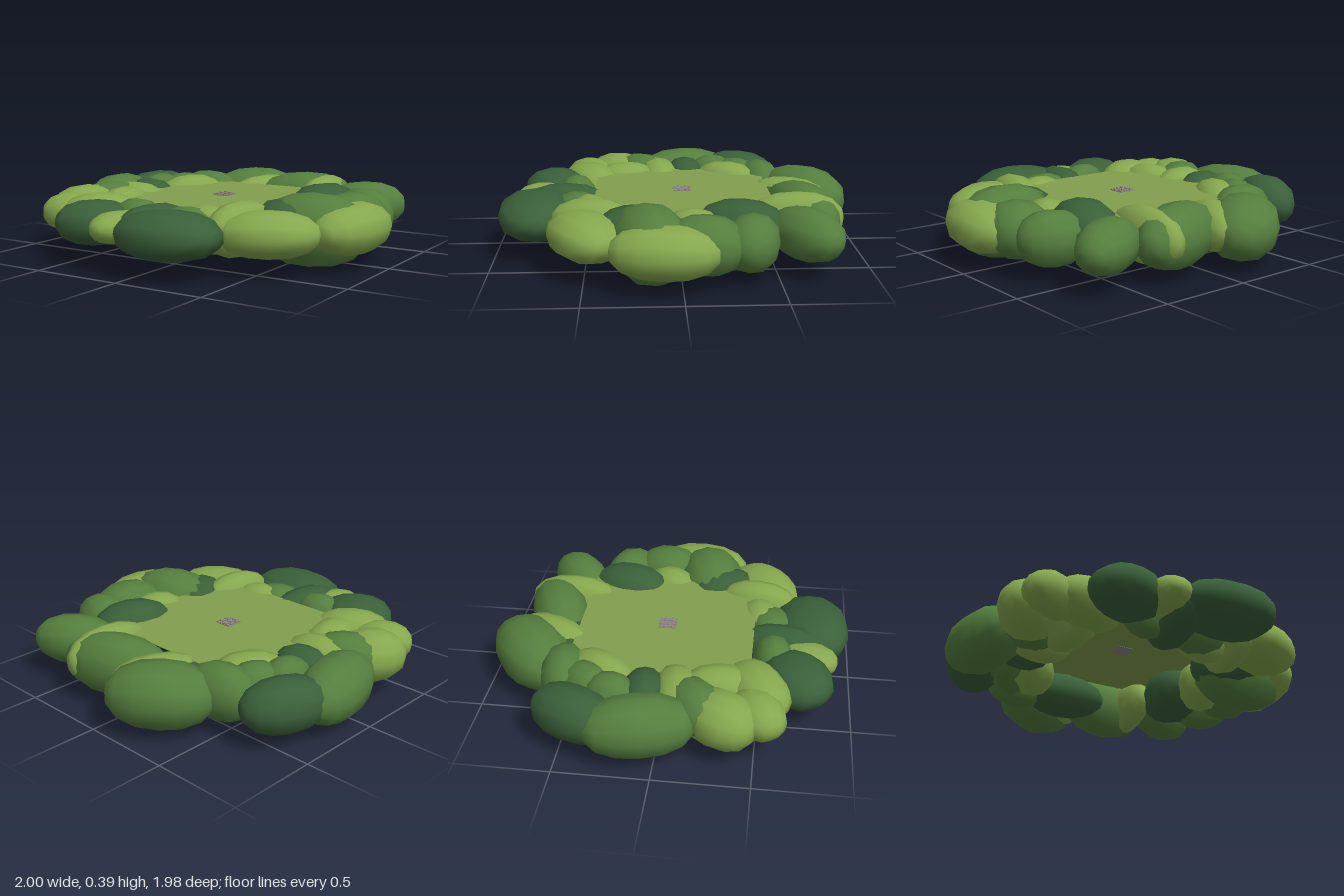
import * as THREE from 'three';

const mat = (name, color) => {
  const m = new THREE.MeshStandardMaterial({ color });
  m.name = name;
  return m;
};

// Each row: x, z, long radius, short radius, turn in degrees, centre height, half height
const LIGHT = [
  [-0.12, -0.66, 0.25, 0.12, 65, 0.21, 0.13],
  [0.31, -0.63, 0.26, 0.1, 88, 0.22, 0.15],
  [0.52, -0.07, 0.17, 0.13, 60, 0.2, 0.14],
  [0.82, 0.09, 0.28, 0.17, 84, 0.21, 0.135],
  [0.56, 0.49, 0.26, 0.18, 28, 0.215, 0.12],
  [0.38, 0.46, 0.23, 0.11, 82, 0.22, 0.145],
  [0.2, 0.48, 0.17, 0.12, 15, 0.2, 0.13],
  [-0.17, 0.75, 0.17, 0.12, 80, 0.22, 0.085],
  [-0.49, 0.5, 0.22, 0.15, 30, 0.225, 0.12],
  [-0.69, 0.51, 0.17, 0.13, 32, 0.22, 0.11],
  [-0.74, 0.33, 0.2, 0.16, 60, 0.21, 0.14],
  [-0.5, 0.29, 0.2, 0.13, 100, 0.21, 0.14],
  [-0.58, 0.09, 0.2, 0.13, 12, 0.21, 0.14],
  [-0.46, -0.33, 0.21, 0.13, 58, 0.215, 0.14],
];
const MID = [
  [-0.25, -0.755, 0.285, 0.19, 38, 0.2, 0.17],
  [0.16, -0.69, 0.3, 0.16, 20, 0.21, 0.165],
  [0.57, -0.645, 0.235, 0.145, 32, 0.215, 0.135],
  [0.69, -0.35, 0.18, 0.14, -15, 0.21, 0.145],
  [0.73, -0.11, 0.21, 0.17, 75, 0.215, 0.15],
  [0.64, 0.16, 0.29, 0.2, 14, 0.195, 0.195],
  [0.12, 0.55, 0.17, 0.14, 20, 0.2, 0.125],
  [-0.19, 0.57, 0.14, 0.11, 10, 0.215, 0.13],
  [-0.83, -0.08, 0.29, 0.165, 103, 0.2, 0.16],
  [-0.67, 0.19, 0.19, 0.14, 40, 0.22, 0.14],
  [-0.64, -0.25, 0.14, 0.11, 80, 0.22, 0.14],
  [-0.46, -0.53, 0.2, 0.13, 10, 0.21, 0.15],
  [-0.56, -0.39, 0.15, 0.12, 60, 0.215, 0.14],
];
const DARK = [
  [0.465, -0.315, 0.24, 0.17, 75, 0.22, 0.15],
  [0.5, 0.25, 0.21, 0.15, 120, 0.215, 0.14],
  [0.155, 0.775, 0.285, 0.21, 5, 0.215, 0.125],
  [-0.05, 0.62, 0.25, 0.12, 82, 0.2, 0.135],
  [-0.37, 0.7, 0.21, 0.18, 30, 0.22, 0.12],
  [-0.78, -0.42, 0.235, 0.15, 66, 0.21, 0.14],
  [-0.6, -0.08, 0.16, 0.12, 5, 0.22, 0.13],
  [-0.18, -0.54, 0.27, 0.16, 2, 0.18, 0.12],
];

// Faintly boxy ball with its poles along x
function bushGeometry() {
  const g = new THREE.SphereGeometry(1, 12, 8).rotateZ(Math.PI / 2);
  const p = g.attributes.position;
  const v = new THREE.Vector3();
  const power = 2.3;
  for (let i = 0; i < p.count; i++) {
    v.fromBufferAttribute(p, i);
    const sum = Math.abs(v.x) ** power + Math.abs(v.y) ** power + Math.abs(v.z) ** power;
    v.multiplyScalar(sum ** (-1 / power));
    p.setXYZ(i, v.x, v.y, v.z);
  }
  return g;
}

export function createModel() {
  const root = new THREE.Group();
  root.name = 'shrubRing';
  const lightLeaf = mat('light leaf', 0x86a84e);
  const midLeaf = mat('mid leaf', 0x557f3e);
  const darkLeaf = mat('dark leaf', 0x3a6039);
  const grass = mat('grass', 0x829f4d);
  const stone = mat('stone', 0x8f8983);

  // Ring of squashed, overlapping bushes
  const blob = bushGeometry();
  const addBushes = (name, rows, material) => {
    const group = new THREE.Group();
    group.name = name;
    for (const [x, z, a, b, turn, y, h] of rows) {
      const bush = new THREE.Mesh(blob, material);
      bush.name = 'bush';
      bush.position.set(x, y, z);
      bush.scale.set(a, h, b);
      bush.rotation.y = THREE.MathUtils.degToRad(turn);
      group.add(bush);
    }
    root.add(group);
  };
  addBushes('lightBushes', LIGHT, lightLeaf);
  addBushes('midBushes', MID, midLeaf);
  addBushes('darkBushes', DARK, darkLeaf);

  const add = (name, geometry, material, x, y, z, parent) => {
    const m = new THREE.Mesh(geometry, material);
    m.name = name;
    m.position.set(x, y, z);
    parent.add(m);
  };

  // Lawn inside the ring
  add('lawn', new THREE.BoxGeometry(0.96, 0.004, 0.975), grass, -0.02, 0.3, -0.032, root);

  // Small patch of stones set through the middle of the lawn
  const stones = new THREE.Group();
  stones.name = 'stonePatch';
  stones.position.set(-0.025, 0.301, -0.03);
  root.add(stones);
  add('stoneBase', new THREE.BoxGeometry(0.1, 0.009, 0.1), stone, 0, 0, 0, stones);
  const n = 5, cell = 0.1 / n;
  const pebble = new THREE.BoxGeometry(cell * 0.7, 0.008, cell * 0.7);
  for (let i = 0; i < n; i++) {
    for (let j = 0; j < n; j++) {
      const lift = 0.004 + 0.002 * ((i * 3 + j * 2) % 4);
      add('pebble', pebble, stone, (i - (n - 1) / 2) * cell, lift, (j - (n - 1) / 2) * cell, stones);
    }
  }
  return root;
}
